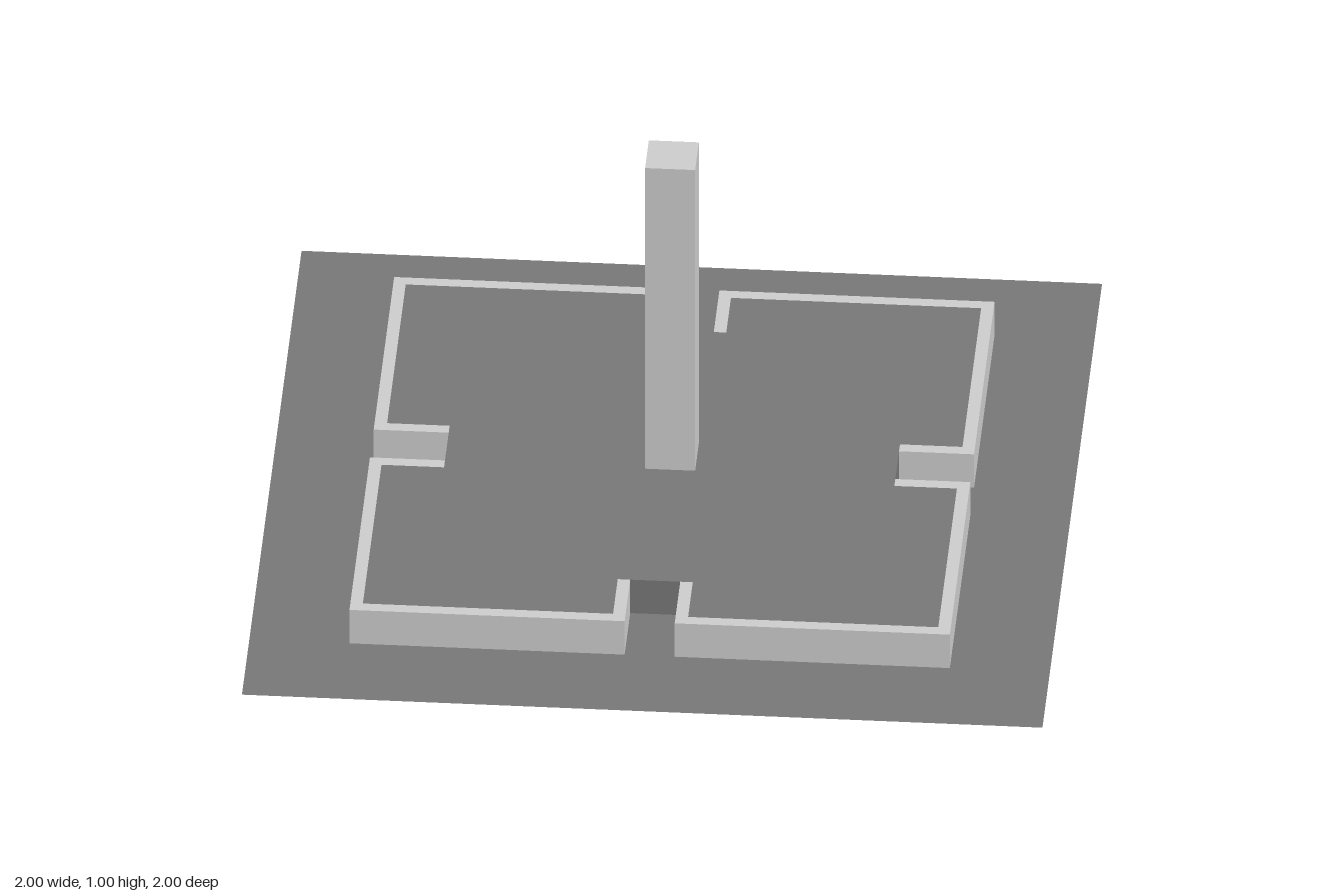
import * as THREE from 'three';
import { mergeGeometries } from 'three/addons/utils/BufferGeometryUtils.js';

const OUT = 0.75;       // half width of the raised platform
const LIP = 0.03125;    // width of the pale rim
const GAP = 0.0625;     // half width of notches and pillar
const BACK = 0.5625;    // distance of notch backs from the centre
const H = 0.1, TOP = 1; // platform and pillar heights

const light = new THREE.MeshStandardMaterial({ color: 0xcccccc, flatShading: true, side: THREE.DoubleSide });
const dark = new THREE.MeshStandardMaterial({ color: 0x777777, flatShading: true, side: THREE.DoubleSide });

// plan points turned by k quarter turns
const turn = (pts, k) => pts.map(([x, y]) => {
  for (let i = 0; i < k; i++) [x, y] = [-y, x];
  return new THREE.Vector2(x, y);
});
const around = (pts) => [0, 1, 2, 3].flatMap((k) => turn(pts, k));

// horizontal sheet at a given height, facing up
function sheet(points, y, hole) {
  const shape = new THREE.Shape(points);
  if (hole) shape.holes.push(new THREE.Path(hole));
  return new THREE.ShapeGeometry(shape).rotateX(-Math.PI / 2).translate(0, y, 0);
}

// upright wall along a counter-clockwise plan line, facing outward
function wall(a, b, y0, y1) {
  return new THREE.PlaneGeometry(a.distanceTo(b), y1 - y0)
    .rotateY(Math.atan2(b.y - a.y, b.x - a.x))
    .translate((a.x + b.x) / 2, (y0 + y1) / 2, -(a.y + b.y) / 2);
}
const walls = (pts, y0, y1) => pts.slice(1).map((p, i) => wall(pts[i], p, y0, y1));

export function createModel() {
  const model = new THREE.Group();
  const add = (name, geometries, material) => {
    const mesh = new THREE.Mesh(mergeGeometries(geometries), material);
    mesh.name = name;
    model.add(mesh);
  };

  // one quarter of the platform outline, and the inner edge of its rim
  const i = OUT - LIP, g = GAP + LIP;
  const outer = [[BACK, GAP], [OUT, GAP], [OUT, OUT], [GAP, OUT], [GAP, BACK]];
  const inner = [[BACK, g], [i, g], [i, i], [g, i], [g, BACK]];
  const square = around([[GAP, GAP]]);

  // ground sheet, open beneath the platform
  add('ground', [sheet(around([[1, 1]]), 0, around(outer))], dark);

  // raised floor, open beneath the pillar
  add('platformFloor', [sheet(around([outer[0], ...inner, outer[4]]), H, square)], dark);

  // four corner rims with their outer walls, and the dark notch backs
  const notchBacks = [];
  for (let k = 0; k < 4; k++) {
    const rim = sheet(turn([...outer, ...[...inner].reverse()], k), H);
    add('cornerRim' + (k + 1), [rim, ...walls(turn(outer, k), 0, H)], light);
    notchBacks.push(...walls(turn([[BACK, -GAP], [BACK, GAP]], k), 0, H));
  }
  add('notchBacks', notchBacks, dark);

  // hollow square pillar with a flat cap
  add('pillar', [...walls([...square, square[0]], H, TOP), sheet(square, TOP)], light);

  return model;
}
